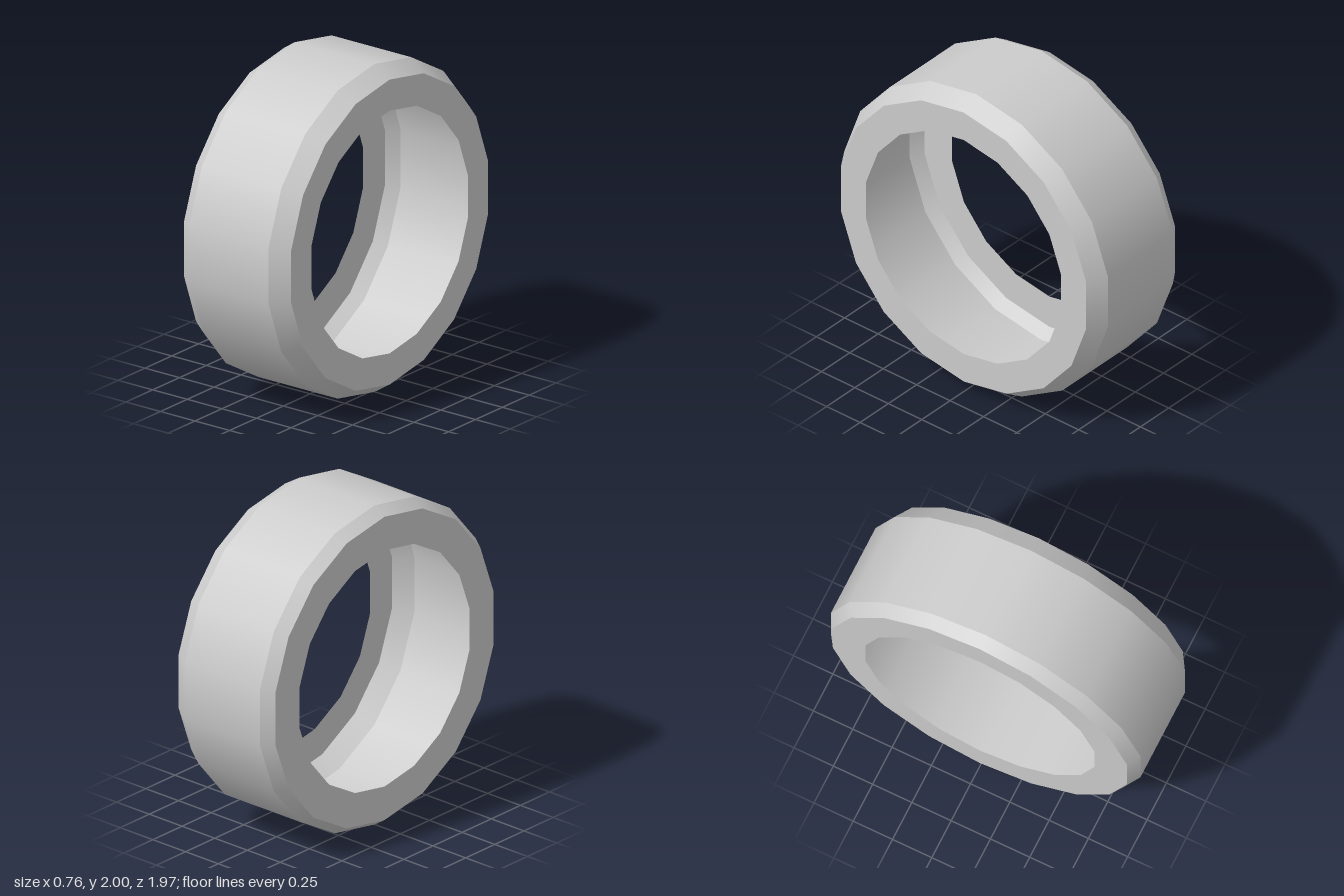
import * as THREE from 'three';

const SIDES = 18;

// Open ring shell turned around the x axis; thin, so it shows inside and out
export function createModel() {
  const group = new THREE.Group();
  group.name = 'hollowRing';
  const grey = new THREE.MeshStandardMaterial({ color: 0xcccccc, side: THREE.DoubleSide });
  grey.name = 'light grey';

  // One band between two [radius, x] rims: smooth around, sharp at its edges
  const addBand = (name, from, to) => {
    const points = [from, to].map(([r, x]) => new THREE.Vector2(r, x));
    const geometry = new THREE.LatheGeometry(points, SIDES, Math.PI / 2);
    geometry.rotateZ(-Math.PI / 2);
    geometry.translate(0, 1, 0);
    const mesh = new THREE.Mesh(geometry, grey);
    mesh.name = name;
    group.add(mesh);
  };

  // Profile from the right side (-x) to the left side (+x)
  const profile = [[0.74, -0.38], [0.95, -0.38], [1, -0.305], [1, 0.27], [0.93, 0.38], [0.74, 0.38]];
  const names = ['rightSidewall', 'rightBevel', 'tread', 'leftBevel', 'leftSidewall'];
  names.forEach((name, i) => addBand(name, profile[i], profile[i + 1]));

  return group;
}
